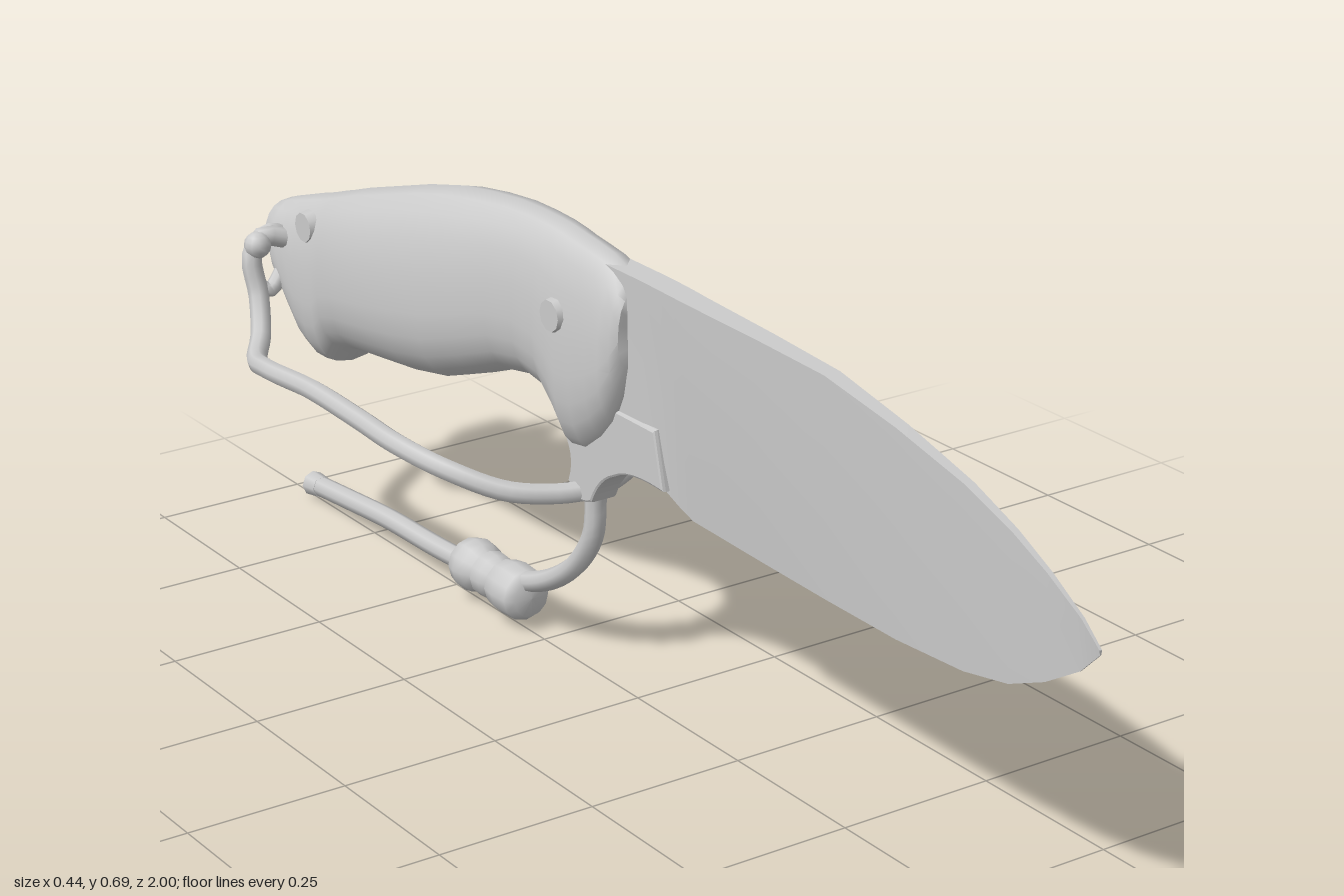
import * as THREE from 'three';
import { toCreasedNormals } from 'three/addons/utils/BufferGeometryUtils.js';

const material = new THREE.MeshStandardMaterial({ color: 0xcccccc });

// Skin a list of rings (counter-clockwise seen from the front, ordered front to back) and cap both ends.
function loft(rings, crease) {
  const n = rings[0].length, pos = rings.flat(2), index = [];
  for (let i = 0; i < rings.length - 1; i++) {
    for (let j = 0; j < n; j++) {
      const a = i * n + j, b = i * n + (j + 1) % n;
      index.push(a, a + n, b, b, a + n, b + n);
    }
  }
  const last = (rings.length - 1) * n;
  for (let j = 1; j < n - 1; j++) {
    index.push(0, j, j + 1, last, last + j + 1, last + j);
  }
  const g = new THREE.BufferGeometry();
  g.setAttribute('position', new THREE.Float32BufferAttribute(pos, 3));
  g.setIndex(index);
  return toCreasedNormals(g, crease);
}

// Closed cord through [x, y, z] points.
function cordGeometry(points, radius, segments) {
  const curve = new THREE.CatmullRomCurve3(points.map(p => new THREE.Vector3(...p)));
  return new THREE.TubeGeometry(curve, segments, radius, 8);
}

export function createModel() {
  const group = new THREE.Group();
  const add = (name, geometry, parent = group) => {
    const mesh = new THREE.Mesh(geometry, material);
    mesh.name = name;
    parent.add(mesh);
    return mesh;
  };

  // Blade: wedge sections [z, spine y, edge y, edge half-width]
  const bladeSections = [
    [1, 0.462, 0.455, 0.001], [0.965, 0.492, 0.42, 0.001], [0.9, 0.53, 0.38, 0.001],
    [0.83, 0.563, 0.35, 0.001], [0.74, 0.595, 0.333, 0.001], [0.6, 0.628, 0.325, 0.001],
    [0.45, 0.654, 0.326, 0.001], [0.3, 0.66, 0.329, 0.001], [0.14, 0.664, 0.334, 0.002],
    [0.115, 0.665, 0.346, 0.006], [0.085, 0.666, 0.365, 0.012], [0.04, 0.667, 0.374, 0.018],
    [-0.08, 0.667, 0.38, 0.02],
  ];
  add('blade', loft(bladeSections.map(([z, top, bottom, e]) => {
    const w = Math.min(0.021, 0.002 + 0.021 * (1 - z));
    const mid = bottom + (top - bottom) * 0.6;
    return [[-e, bottom, z], [e, bottom, z], [Math.max(e, w * 0.85), mid, z],
      [w, top, z], [-w, top, z], [-Math.max(e, w * 0.85), mid, z]];
  }), 0.5));

  // Finger guard: heel of the tang that drops below the handle
  const guardShape = new THREE.Shape();
  guardShape.moveTo(0.09, 0.37);
  guardShape.lineTo(0.07, 0.45);
  guardShape.lineTo(-0.12, 0.45);
  guardShape.lineTo(-0.15, 0.37);
  guardShape.quadraticCurveTo(-0.13, 0.34, -0.145, 0.305);
  guardShape.quadraticCurveTo(-0.125, 0.275, -0.09, 0.292);
  guardShape.quadraticCurveTo(-0.07, 0.335, -0.03, 0.352);
  guardShape.quadraticCurveTo(0.01, 0.376, 0.09, 0.37);
  const guard = new THREE.ExtrudeGeometry(guardShape, {
    depth: 0.034, bevelSize: 0.004, bevelThickness: 0.006, bevelSegments: 2, curveSegments: 6,
  });
  guard.translate(0, 0, -0.017).rotateY(-Math.PI / 2);
  add('fingerGuard', guard);

  // Handle: rounded sections [z, top y, bottom y, half-width], fullest low down
  const handleSections = [
    [0.002, 0.64, 0.52, 0.036], [-0.008, 0.655, 0.475, 0.046], [-0.03, 0.668, 0.428, 0.051],
    [-0.06, 0.678, 0.395, 0.053], [-0.1, 0.684, 0.365, 0.054], [-0.135, 0.688, 0.36, 0.055],
    [-0.16, 0.691, 0.395, 0.056], [-0.19, 0.693, 0.428, 0.058], [-0.24, 0.694, 0.438, 0.061],
    [-0.3, 0.692, 0.428, 0.068], [-0.38, 0.683, 0.396, 0.079], [-0.46, 0.67, 0.367, 0.087],
    [-0.55, 0.648, 0.35, 0.09], [-0.65, 0.618, 0.338, 0.088], [-0.73, 0.594, 0.328, 0.082],
    [-0.78, 0.577, 0.314, 0.076], [-0.805, 0.569, 0.284, 0.073], [-0.84, 0.557, 0.278, 0.069],
    [-0.88, 0.545, 0.29, 0.064], [-0.92, 0.532, 0.33, 0.06], [-0.96, 0.519, 0.378, 0.056],
    [-0.985, 0.51, 0.425, 0.05], [-0.998, 0.498, 0.46, 0.036],
  ];
  const sides = 20;
  const power = (v, p) => Math.sign(v) * Math.abs(v) ** p;
  add('handle', loft(handleSections.map(([z, top, bottom, w]) => {
    const mid = bottom + (top - bottom) * 0.38;
    return Array.from({ length: sides }, (_, j) => {
      const a = (j / sides) * Math.PI * 2, s = Math.sin(a);
      const y = mid + power(s, 0.9) * (s > 0 ? top - mid : mid - bottom);
      return [w * power(Math.cos(a), 0.8), y, z];
    });
  }), 0.8));

  // Mirrored parts: pins, hand loop and its knots
  for (const [side, s] of [['left', 1], ['right', -1]]) {
    for (const [place, y, z, x] of [['front', 0.57, -0.14, 0.051], ['rear', 0.51, -0.84, 0.055]]) {
      const pin = add(`${side}${place === 'front' ? 'Front' : 'Rear'}Pin`,
        new THREE.CylinderGeometry(0.024, 0.027, 0.016, 10));
      pin.rotation.z = -s * Math.PI / 2;
      pin.position.set(s * x, y, z);
    }

    const loop = new THREE.Group();
    loop.name = `${side}HandLoop`;
    group.add(loop);
    add('loopCord', cordGeometry([
      [0, 0.293, -0.12], [0.05, 0.292, -0.138], [0.115, 0.3, -0.172], [0.175, 0.325, -0.24],
      [0.203, 0.341, -0.33], [0.2, 0.343, -0.44], [0.192, 0.34, -0.6], [0.188, 0.328, -0.74],
      [0.165, 0.316, -0.82], [0.128, 0.334, -0.872], [0.108, 0.385, -0.91],
      [0.108, 0.445, -0.928], [0.088, 0.475, -0.928], [0.04, 0.465, -0.918],
    ].map(([x, y, z]) => [s * x, y, z]), 0.0165, 64), loop);
    add('loopWrap', cordGeometry([
      [0.04, 0.41, -0.945], [0.075, 0.38, -0.935], [0.095, 0.4, -0.945],
      [0.095, 0.45, -0.948], [0.07, 0.48, -0.935], [0.03, 0.46, -0.93],
    ].map(([x, y, z]) => [s * x, y, z]), 0.013, 24), loop);
    const knot = add('loopKnot', new THREE.SphereGeometry(0.022, 10, 8), loop);
    knot.position.set(s * 0.1, 0.465, -0.922);
  }

  // Lanyard tail hanging from the finger guard
  add('lanyardCord', cordGeometry([
    [0, 0.325, -0.1], [0, 0.285, -0.108], [0, 0.225, -0.115], [0, 0.165, -0.155],
    [0, 0.115, -0.22], [0, 0.08, -0.3], [0, 0.058, -0.4],
  ], 0.0165, 28));
  add('lanyardEnd', cordGeometry([
    [0, 0.056, -0.38], [0, 0.046, -0.55], [0, 0.043, -0.7], [0, 0.034, -0.82], [0, 0.024, -0.94],
  ], 0.017, 20));
  const endCap = add('lanyardTip', new THREE.CylinderGeometry(0.021, 0.018, 0.03, 8));
  endCap.rotation.x = -Math.PI / 2 - 0.08;
  endCap.position.set(0, 0.024, -0.93);

  // Lanyard knot: three bulges along the cord
  const knotProfile = [
    [0, -0.095], [0.03, -0.093], [0.041, -0.078], [0.043, -0.045], [0.039, -0.02], [0.031, -0.01],
    [0.036, 0.004], [0.037, 0.024], [0.031, 0.034], [0.04, 0.046], [0.043, 0.065],
    [0.038, 0.085], [0.026, 0.094], [0, 0.095],
  ].map(p => new THREE.Vector2(...p));
  const bead = add('lanyardKnot', new THREE.LatheGeometry(knotProfile, 12));
  bead.rotation.x = -Math.PI / 2;
  bead.position.set(0, 0.057, -0.378);

  return group;
}
